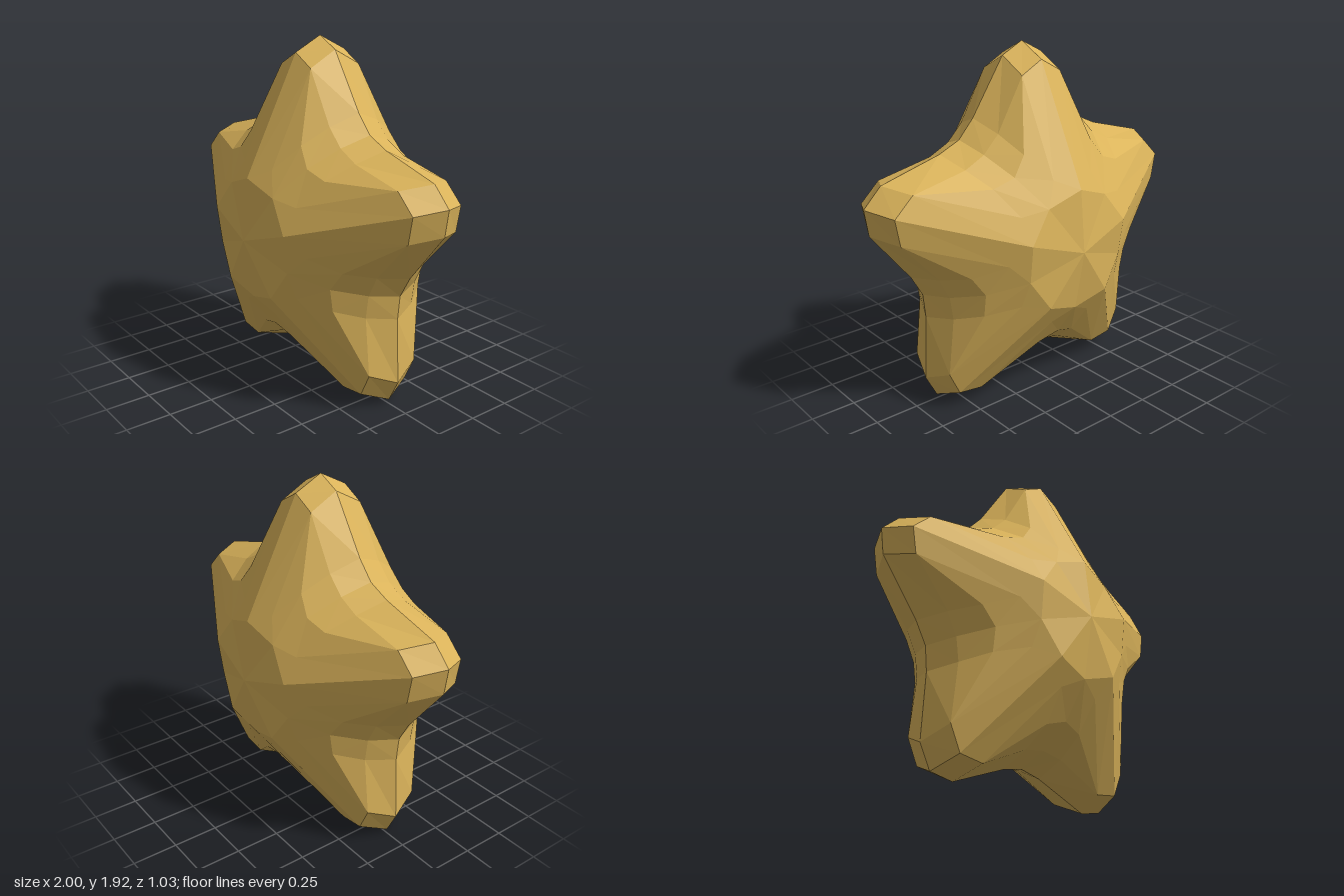
import * as THREE from 'three';

// Corners of half an arm: [sideways, outward, depth], measured from the star's centre
const notch = (r, z) => [r * Math.sin(Math.PI / 5), r * Math.cos(Math.PI / 5), z];
const P = {
  centre: [0, 0, 0.515],
  ridge: [0, 0.34, 0.48],
  valley: notch(0.335, 0.455),
  shoulder: [0.13, 0.4, 0.41],
  valleyMid: notch(0.53, 0.32),
  flankMid: [0.235, 0.53, 0.3],
  tip: [0, 0.97, 0.16],
  tipSide: [0.13, 0.9, 0.16],
  flank: [0.29, 0.62, 0.16],
  valleyLow: notch(0.65, 0.16),
  rimTip: [0, 1.05, 0],
  rimSide: [0.13, 0.985, 0],
  rimFlank: [0.33, 0.68, 0],
  rimValley: notch(0.716, 0),
};

// Faces of the half arm, anticlockwise from the front
const FACES = [
  ['centre', 'valley', 'ridge'],
  ['ridge', 'valley', 'shoulder'],
  ['ridge', 'shoulder', 'tipSide', 'tip'],
  ['shoulder', 'flankMid', 'tipSide'],
  ['flankMid', 'flank', 'tipSide'],
  ['valley', 'valleyMid', 'flankMid', 'shoulder'],
  ['valleyMid', 'valleyLow', 'flank', 'flankMid'],
  ['tip', 'tipSide', 'rimSide', 'rimTip'],
  ['tipSide', 'flank', 'rimFlank', 'rimSide'],
  ['flank', 'valleyLow', 'rimValley', 'rimFlank'],
];

// One complete arm, mirrored sideways and front to back
function armGeometry() {
  const pos = [];
  for (const sx of [1, -1]) {
    for (const sz of [1, -1]) {
      for (const face of FACES) {
        const pts = face.map((n) => [P[n][0] * sx, P[n][1], P[n][2] * sz]);
        if (sx * sz < 0) pts.reverse();
        for (let i = 1; i < pts.length - 1; i++) pos.push(...pts[0], ...pts[i], ...pts[i + 1]);
      }
    }
  }
  const g = new THREE.BufferGeometry();
  g.setAttribute('position', new THREE.Float32BufferAttribute(pos, 3));
  g.computeVertexNormals();
  return g;
}

export function createModel() {
  const star = new THREE.Group();
  star.name = 'star';
  const gold = new THREE.MeshStandardMaterial({ color: 0xdab35a, flatShading: true });
  gold.name = 'gold';

  // Five equal arms around the centre
  const geometry = armGeometry();
  for (let k = 0; k < 5; k++) {
    const arm = new THREE.Mesh(geometry, gold);
    arm.name = `arm${k + 1}`;
    arm.rotation.z = (k * Math.PI * 2) / 5;
    arm.position.y = 0.873;
    star.add(arm);
  }
  return star;
}
